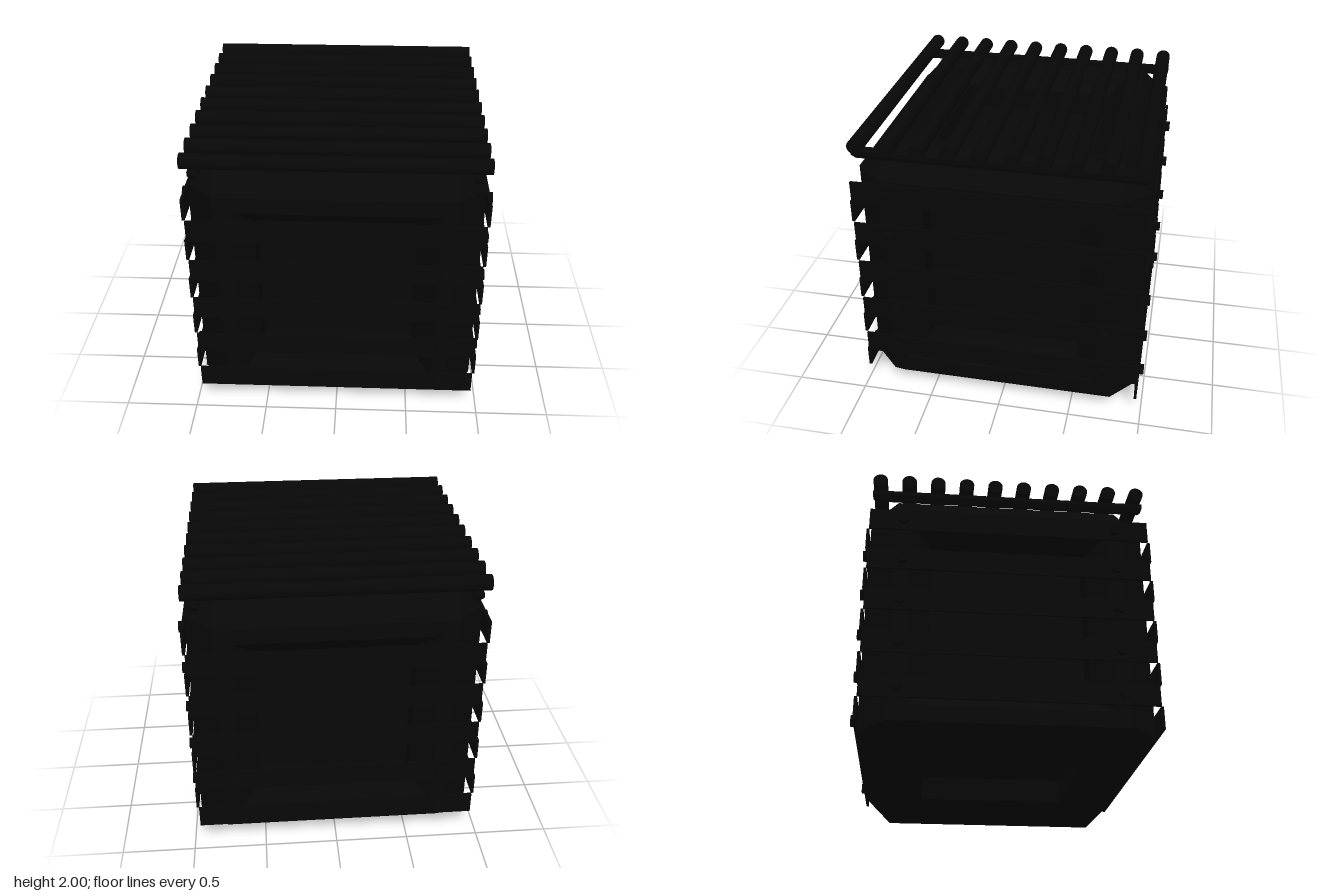
import * as THREE from 'three';

const H = 0.95;      // half size of the crate body
const F = 0.77;      // half size of each flat face inside the chamfers
const mat = new THREE.MeshStandardMaterial({ color: 0x070707 });
const flatMat = new THREE.MeshStandardMaterial({ color: 0x070707, flatShading: true });

function mesh(parent, name, geometry, x, y, z, material = mat) {
  const m = new THREE.Mesh(geometry, material);
  m.name = name;
  m.position.set(x, y, z);
  parent.add(m);
  return m;
}

// Chamfered cube with a bevelled, straight-walled recess in all six faces
function bodyGeometry() {
  const pos = [];
  // adds a triangle or quad, wound so that it faces along out
  const poly = (pts, out) => {
    const n = pts[1].clone().sub(pts[0]).cross(pts[2].clone().sub(pts[0]));
    const p = n.dot(out) < 0 ? [...pts].reverse() : pts;
    for (let i = 1; i < p.length - 1; i++) {
      for (const v of [p[0], p[i], p[i + 1]]) pos.push(v.x, v.y, v.z);
    }
  };
  // point with coordinate a along axis k, b and c along the next two
  const point = (k, a, b, c) => {
    const v = new THREE.Vector3();
    v.setComponent(k, a).setComponent((k + 1) % 3, b).setComponent((k + 2) % 3, c);
    return v;
  };
  // half width and distance from the centre: rim, bevel, straight wall
  const rings = [[F, H], [0.66, H], [0.53, H - 0.13], [0.529, H - 0.3]];
  const corners = [[-1, -1], [1, -1], [1, 1], [-1, 1]];

  for (let k = 0; k < 3; k++) {
    for (const s of [-1, 1]) {
      // flat rim, walls and floor of the recess
      const out = point(k, s, 0, 0);
      const loops = rings.map(([r, d]) => corners.map(([b, c]) => point(k, s * d, b * r, c * r)));
      for (let j = 0; j < 3; j++) {
        const A = loops[j], B = loops[j + 1];
        for (let i = 0; i < 4; i++) {
          const n = (i + 1) % 4;
          poly([A[i], A[n], B[n], B[i]], out);
        }
      }
      poly(loops[3], out);
    }
    // edge chamfers running along axis k
    for (const [b, c] of corners) {
      poly([point(k, -F, b * H, c * F), point(k, F, b * H, c * F),
        point(k, F, b * F, c * H), point(k, -F, b * F, c * H)], point(k, 0, b, c));
    }
  }
  // corner triangles
  for (const x of [-1, 1]) for (const [y, z] of corners) {
    poly([point(0, x * H, y * F, z * F), point(0, x * F, y * H, z * F),
      point(0, x * F, y * F, z * H)], point(0, x, y, z));
  }
  const g = new THREE.BufferGeometry();
  g.setAttribute('position', new THREE.Float32BufferAttribute(pos, 3));
  g.computeVertexNormals();
  return g;
}

// Bar whose lower edges are bevelled inward
function railGeometry() {
  const g = new THREE.BoxGeometry(0.066, 0.06, 1.89, 1, 2, 1);
  const p = g.attributes.position;
  for (let i = 0; i < p.count; i++) {
    if (p.getY(i) > -0.02) continue;
    p.setX(i, Math.sign(p.getX(i)) * 0.013);
    p.setZ(i, Math.sign(p.getZ(i)) * 0.92);
  }
  g.computeVertexNormals();
  return g;
}

export function createModel() {
  const model = new THREE.Group();
  model.name = 'crate';
  mesh(model, 'body', bodyGeometry(), 0, H, 0, flatMat);

  // Five boards per wall; neighbouring walls alternate in height
  const board = new THREE.BoxGeometry(1.9, 0.152, 0.018);
  const bolt = new THREE.CylinderGeometry(0.037, 0.037, 0.03, 16);
  bolt.rotateX(Math.PI / 2);
  ['front', 'left', 'back', 'right'].forEach((side, w) => {
    const wall = new THREE.Group();
    wall.name = side + 'Wall';
    wall.rotation.y = w * Math.PI / 2;
    model.add(wall);
    for (let i = 0; i < 5; i++) {
      const y = 0.256 + i * 0.305 + (w % 2) * 0.15;
      mesh(wall, 'board', board, 0, y, 0.958);
      for (const x of [-0.72, 0.72]) mesh(wall, 'bolt', bolt, x, y, 0.981);
    }
  });

  // Roof: two rails carrying ten round poles
  const rail = railGeometry();
  for (const x of [-0.873, 0.873]) mesh(model, 'roofRail', rail, x, 1.87, 0, flatMat);
  const pole = new THREE.CylinderGeometry(0.05, 0.05, 1.91, 24);
  pole.rotateZ(Math.PI / 2);
  for (let i = 0; i < 10; i++) mesh(model, 'roofPole', pole, 0, 1.95, -0.895 + i * 0.199);

  return model;
}
